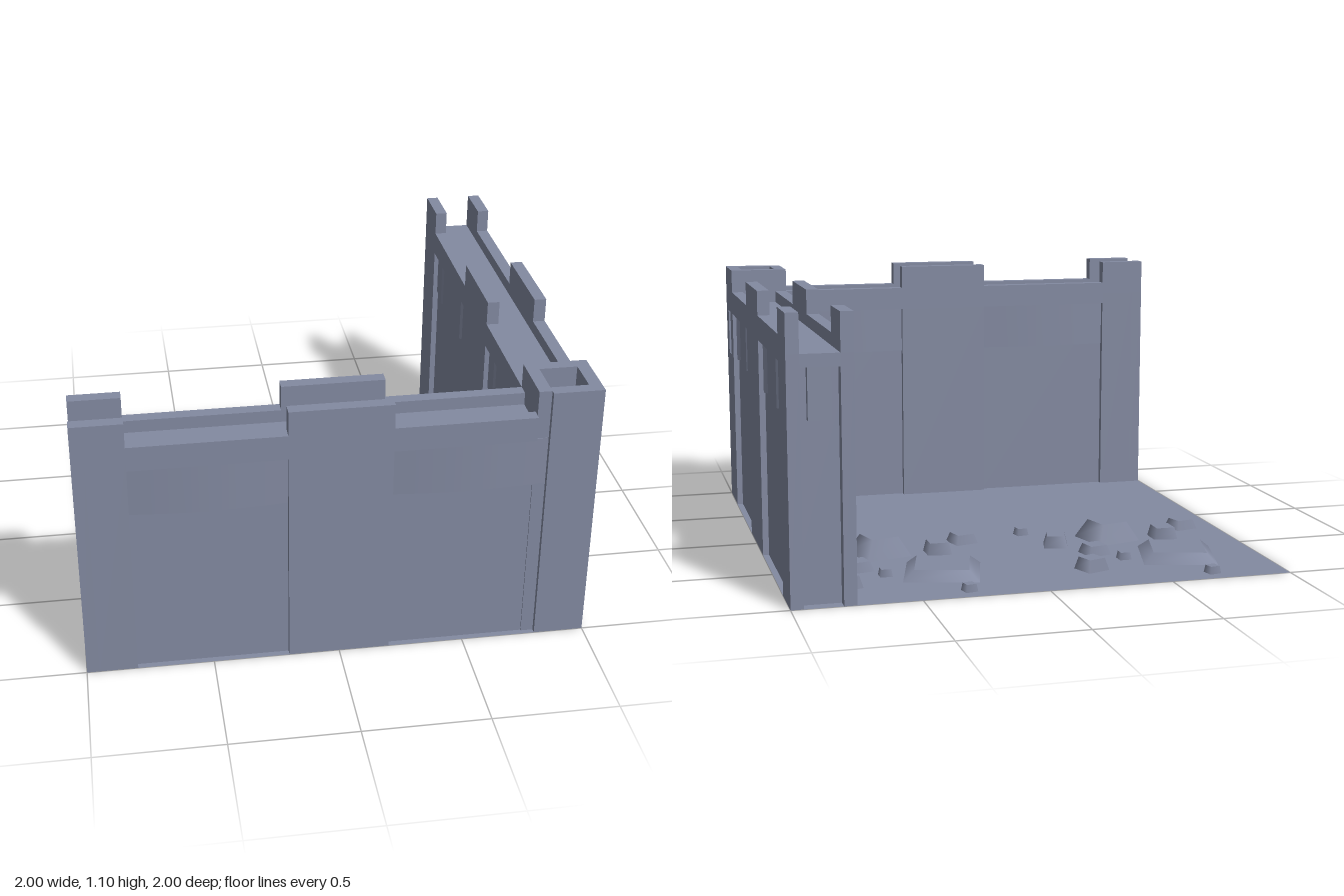
import * as THREE from 'three';

const stone = new THREE.MeshStandardMaterial({ color: 0x838aa1 });
stone.name = 'slate stone';
const floorStone = stone.clone();
floorStone.name = 'floor stone';
floorStone.side = THREE.DoubleSide;

// Box given by its limits on each axis
function block(parent, name, x0, x1, y0, y1, z0, z1) {
  const mesh = new THREE.Mesh(new THREE.BoxGeometry(x1 - x0, y1 - y0, z1 - z0), stone);
  mesh.position.set((x0 + x1) / 2, (y0 + y1) / 2, (z0 + z1) / 2);
  mesh.name = name;
  parent.add(mesh);
}

// Curved band standing out from both faces of a recessed panel
function bulgeBand(parent, x0, x1, profile) {
  const n = 48, outer = [], inner = [];
  for (let i = 0; i <= n; i++) {
    const t = i / n, x = x0 + (x1 - x0) * t, d = 0.105 + profile(t);
    outer.push(new THREE.Vector2(x, -0.875 - d));
    inner.unshift(new THREE.Vector2(x, -0.875 + d));
  }
  const geo = new THREE.ExtrudeGeometry(new THREE.Shape([...outer, ...inner]), { depth: 0.2, bevelEnabled: false });
  geo.rotateX(-Math.PI / 2);
  const mesh = new THREE.Mesh(geo, stone);
  mesh.position.y = 0.7;
  mesh.name = 'curvedBand';
  parent.add(mesh);
}

// Half-round roll between two points of a profile
const roll = (t, a, b, h) => (t > a && t < b ? h * Math.sin(Math.PI * (t - a) / (b - a)) : 0);
const gentle = t => roll(t, 0, 1, 0.018);
const ribbed = t => roll(t, 0.12, 0.2, 0.014) + roll(t, 0.34, 0.74, 0.019) + roll(t, 0.74, 0.82, 0.014);

// Wall along x with its outside at z = 1; endDir is the side of the open end
function buildWall(name, endDir, bays, middle, profile) {
  const wall = new THREE.Group();
  wall.name = name;
  const span = (a, b) => (endDir < 0 ? [a, b] : [-b, -a]);

  // open end pillar, with a slot and a plug near its top
  block(wall, 'endPillarCore', ...span(-0.95, -0.8), 0, 0.95, 0.75, 1);
  block(wall, 'endSkin', ...span(-1, -0.95), 0, 0.95, 0.95, 1);
  block(wall, 'endSkin', ...span(-1, -0.95), 0, 0.95, 0.75, 0.8);
  block(wall, 'endLintel', ...span(-1, -0.95), 0.9, 0.95, 0.8, 0.95);
  block(wall, 'endPlug', ...span(-0.98, -0.95), 0.7, 0.9, 0.83, 0.92);

  // middle pillar, lintel and parapets
  block(wall, 'middlePillar', ...middle, 0, 0.9, 0.75, 1);
  block(wall, 'walkway', ...span(-0.8, 0.75), 0.9, 0.95, 0.75, 1);
  for (const z of [0.75, 0.95]) {
    block(wall, 'parapet', ...span(-1, 0.75), 0.95, 1, z, z + 0.05);
    block(wall, 'merlon', ...span(-1, -0.8), 1, 1.1, z, z + 0.05);
    block(wall, 'merlon', ...middle, 1, 1.1, z, z + 0.05);
  }

  // recessed panels with curved bands
  for (const [a, b] of bays) {
    block(wall, 'recessedPanel', a, b, 0, 0.9, 0.775, 0.975);
    bulgeBand(wall, a, b, profile);
  }
  return wall;
}

function buildTower() {
  const tower = new THREE.Group();
  tower.name = 'cornerTower';
  block(tower, 'towerCore', 0.75, 0.97, 0, 0.95, 0.75, 0.98);
  block(tower, 'towerFrontFace', 0.8, 0.97, 0, 0.95, 0.98, 1);
  // right face with a narrow slit
  const face = (y0, y1, z0, z1) => block(tower, 'towerRightFace', 0.97, 1, y0, y1, z0, z1);
  face(0, 0.7, 0.75, 1);
  face(0.9, 0.95, 0.75, 1);
  face(0.7, 0.9, 0.75, 0.84);
  face(0.7, 0.9, 0.92, 1);
  const insert = new THREE.Mesh(new THREE.CylinderGeometry(0.04, 0.04, 0.2, 20), stone);
  insert.scale.x = 0.5;
  insert.position.set(0.97, 0.8, 0.88);
  insert.name = 'slitInsert';
  tower.add(insert);
  // square parapet around a well
  block(tower, 'towerParapet', 0.8, 1, 0.95, 1.1, 0.95, 1);
  block(tower, 'towerParapet', 0.75, 1, 0.95, 1.1, 0.75, 0.8);
  block(tower, 'towerParapet', 0.75, 0.8, 0.95, 1.1, 0.8, 0.98);
  block(tower, 'towerParapet', 0.95, 1, 0.95, 1.1, 0.8, 0.95);
  return tower;
}

// x, z, side, height, top ratio, turn in degrees
const rocks = [
  [-0.66, -0.64, 0.30, 0.04, 0.72, -15], [-0.47, -0.30, 0.20, 0.08, 0.6, 15],
  [-0.25, -0.75, 0.10, 0.05, 0.75, 20], [-0.43, -0.63, 0.05, 0.03, 0.8, 0],
  [-0.34, -0.52, 0.10, 0.04, 0.75, 12], [-0.70, -0.92, 0.05, 0.03, 0.8, 12],
  [-0.71, -0.34, 0.10, 0.05, 0.8, 0], [-0.22, -0.36, 0.10, 0.05, 0.75, -15],
  [-0.85, -0.20, 0.10, 0.04, 0.75, 15], [-0.13, -0.14, 0.05, 0.03, 0.8, 10],
];

function buildRubble() {
  const rubble = new THREE.Group();
  rubble.name = 'rubble';
  for (const [x, z, side, h, top, turn] of rocks) {
    const r = side * Math.SQRT1_2;
    const geo = new THREE.CylinderGeometry(r * top, r, h, 4).rotateY(Math.PI / 4);
    for (const shift of [0, 1]) {
      if (x + shift > 0.8) continue;
      const rock = new THREE.Mesh(geo, stone);
      rock.position.set(x + shift, h / 2, z);
      rock.rotation.y = turn * Math.PI / 180;
      rock.name = 'rock';
      rubble.add(rock);
    }
  }
  return rubble;
}

export function createModel() {
  const model = new THREE.Group();
  model.name = 'castleCorner';

  const floor = new THREE.Mesh(new THREE.PlaneGeometry(2, 2).rotateX(-Math.PI / 2), floorStone);
  floor.name = 'floor';
  model.add(floor);

  model.add(buildWall('frontWall', -1, [[-0.8, -0.2], [0.2, 0.8]], [-0.2, 0.2], gentle));
  const right = buildWall('rightWall', 1, [[-0.75, -0.19], [0.2, 0.8]], [-0.19, 0.2], ribbed);
  right.rotation.y = Math.PI / 2;
  model.add(right, buildTower(), buildRubble());
  return model;
}
